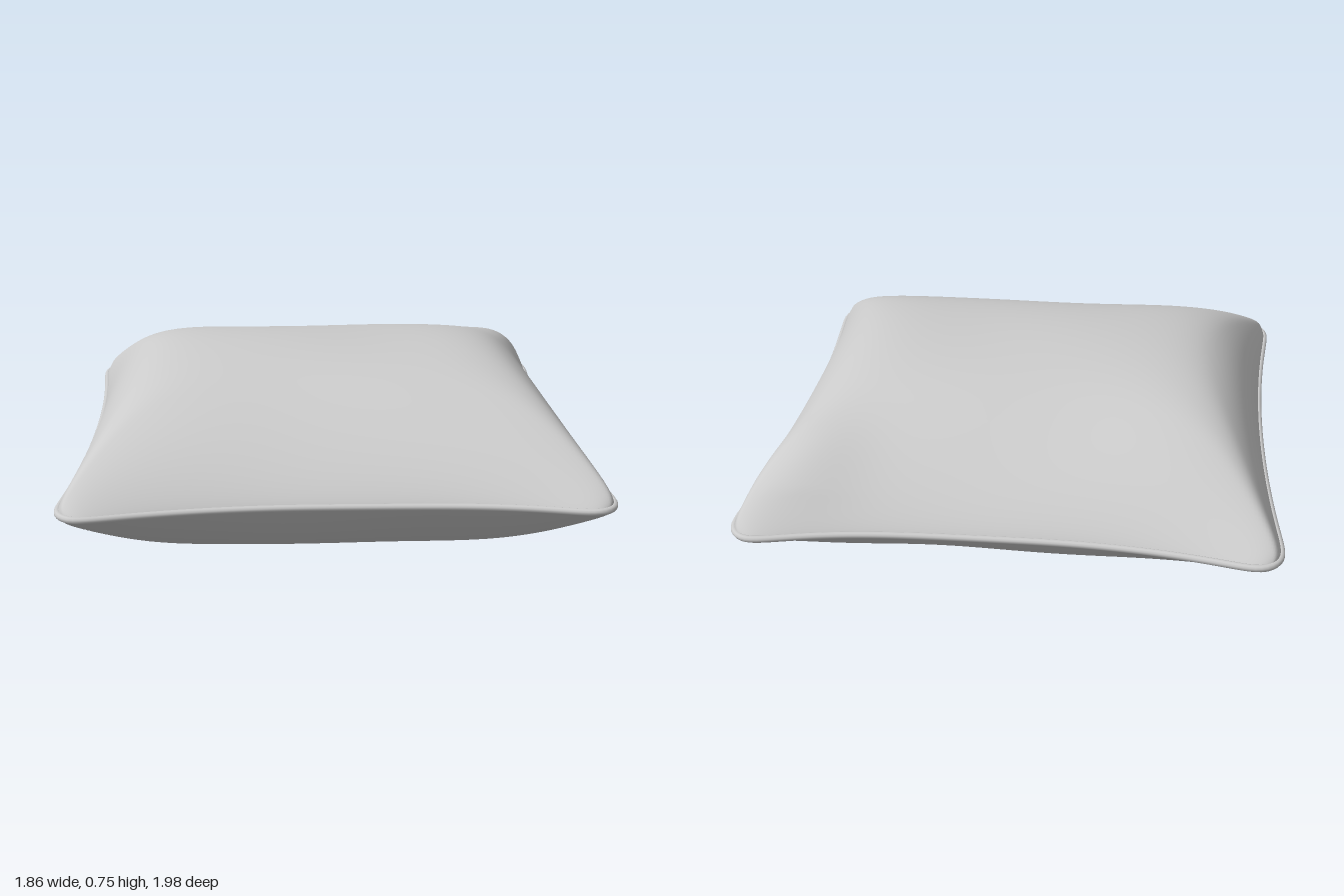
import * as THREE from 'three';

const SEAM_Y = 0.382;
const material = new THREE.MeshStandardMaterial({ color: 0xcccccc });

// Seam outline: sides bow inward, corners stick out and are rounded.
const corner = (t) => 0.048 * Math.pow(Math.abs(t), 24);
const planX = (u, v) => u * (0.872 + 0.062 * v * v - corner(v));
const planZ = (u, v) => v * (0.893 + 0.112 * Math.pow(Math.abs(u), 2.8) - corner(u));
const seamY = (u, v) => SEAM_Y + 0.003 * Math.sin(7 * u + 3) * Math.cos(5 * v);

// Rises from 0 at the seam to 1 at the middle.
const crown = (t, flatness, power) =>
  Math.pow(Math.max(0, 1 - Math.pow(Math.abs(t), flatness)), power);

// Smaller of two values with a soft ridge where they meet.
function softMin(a, b) {
  const m = Math.min(a, b);
  const k = 0.25 * m + 1e-6;
  const h = Math.max(k - Math.abs(a - b), 0) / k;
  return m - (h * h * k) / 4;
}

// One cloth panel: broad flat crown across x, rounder crown along z.
function panel(name, side, height, powerX, powerZ, cornerPuff) {
  const geo = new THREE.PlaneGeometry(2, 2, 96, 96).rotateX(-side * Math.PI / 2);
  const pos = geo.attributes.position;
  for (let i = 0; i < pos.count; i++) {
    // crowd the grid towards the seam
    const u = Math.sin(pos.getX(i) * Math.PI / 2);
    const v = Math.sin(pos.getZ(i) * Math.PI / 2);
    const fx = crown(u, 5.5, powerX);
    const fz = crown(v, 2, powerZ);
    // ridged towards the corners, softened by the plain product
    const puff = 0.6 * softMin(fx, fz) + 0.4 * fx * fz;
    // faint slack folds that fade at the crown and the seam
    const fold = 0.01 * puff * (1 - puff) * Math.sin(6 * u + 4 * v + side);
    // stuffing bunched in the back left corner
    const bunch = cornerPuff * Math.min(1, 4 * puff) *
      Math.exp(-((u - 0.78) ** 2 + (v + 0.78) ** 2) / 0.04);
    pos.setXYZ(i, planX(u, v), seamY(u, v) + side * (height * 1.035 * puff + fold + bunch), planZ(u, v));
  }
  geo.computeVertexNormals();
  const mesh = new THREE.Mesh(geo, material);
  mesh.name = name;
  return mesh;
}

// Piping that follows the whole seam.
function piping() {
  const pts = [];
  const n = 48;
  for (let side = 0; side < 4; side++) {
    for (let i = 0; i < n; i++) {
      const t = Math.sin((-1 + (2 * i) / n) * Math.PI / 2);
      const [u, v] = [[t, 1], [1, -t], [-t, -1], [-1, t]][side];
      // keep the points that are spread out enough for a smooth curve
      const p = new THREE.Vector3(planX(u, v), seamY(u, v), planZ(u, v));
      if (!pts.length || p.distanceTo(pts[pts.length - 1]) > 0.012) pts.push(p);
    }
  }
  const curve = new THREE.CatmullRomCurve3(pts, true);
  const mesh = new THREE.Mesh(new THREE.TubeGeometry(curve, 400, 0.012, 10, true), material);
  mesh.name = 'seamPiping';
  return mesh;
}

export function createModel() {
  const cushion = new THREE.Group();
  cushion.name = 'cushion';
  cushion.add(
    panel('topPanel', 1, 0.362, 0.8, 0.8, 0.04),
    panel('bottomPanel', -1, 0.38, 1.05, 0.95, 0),
    piping()
  );
  // rest the underside on the ground
  cushion.position.y = -new THREE.Box3().setFromObject(cushion).min.y;
  const model = new THREE.Group();
  model.add(cushion);
  return model;
}
